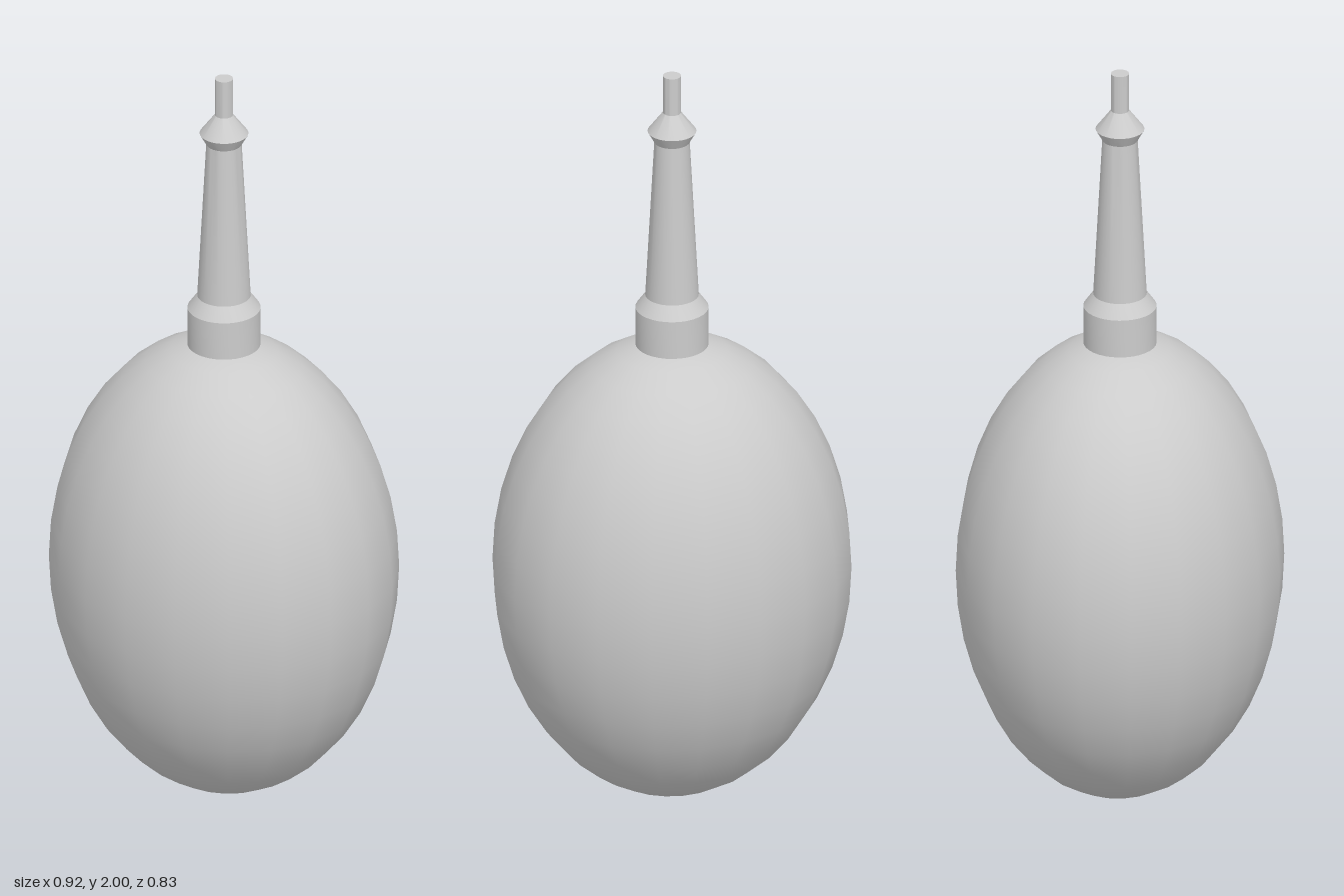
import * as THREE from 'three';
import { toCreasedNormals } from 'three/addons/utils/BufferGeometryUtils.js';

export function createModel() {
  const model = new THREE.Group();
  const material = new THREE.MeshStandardMaterial({ color: 0xcccccc });

  const add = (name, geometry) => {
    const mesh = new THREE.Mesh(geometry, material);
    mesh.name = name;
    model.add(mesh);
    return mesh;
  };

  // Squeeze bulb: an ellipsoid, slightly flatter front to back
  const bulb = add('bulb', new THREE.SphereGeometry(1, 20, 20));
  bulb.scale.set(0.46, 0.628, 0.415);
  bulb.position.y = 0.63;

  // Nozzle: collar, tapered stem, flared ring and narrow tip, closed at both ends
  const profile = [
    [0, 1.247], [0.093, 1.247], [0.093, 1.35], [0.068, 1.385],
    [0.045, 1.815], [0.062, 1.845], [0.023, 1.897], [0.023, 2], [0, 2],
  ].map(([r, y]) => new THREE.Vector2(r, y));
  add('nozzle', toCreasedNormals(new THREE.LatheGeometry(profile, 32), 0.45));

  return model;
}
